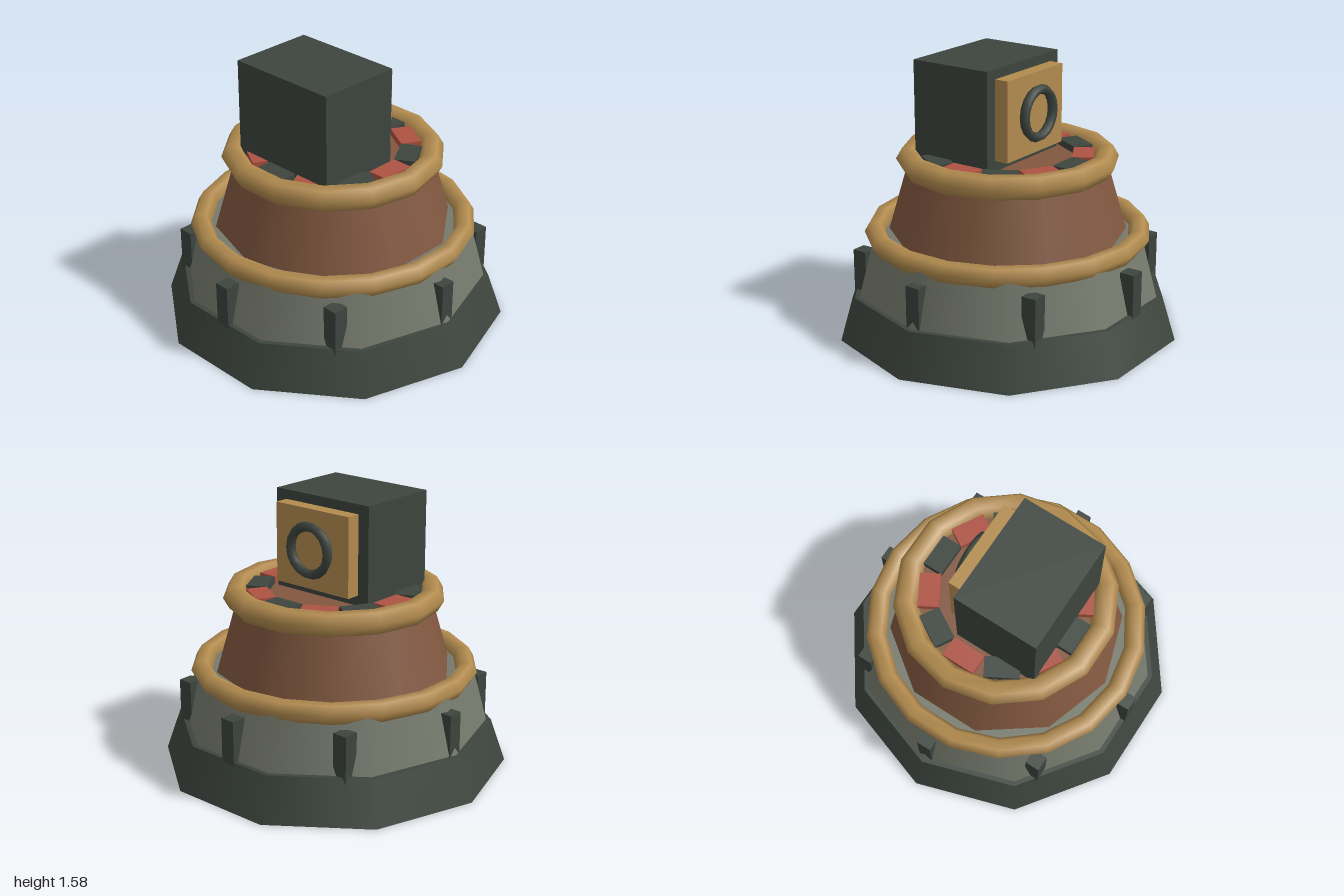
import * as THREE from 'three';

const mat = (name, color) => {
  const m = new THREE.MeshStandardMaterial({ color });
  m.name = name;
  return m;
};

export function createModel() {
  const dark = mat('dark iron', 0x3d453e);
  const stone = mat('grey stone', 0x767a6d);
  const clay = mat('brown clay', 0x825840);
  const gold = mat('dull gold', 0xb38c4f);
  const red = mat('faded red', 0xad5242);

  const model = new THREE.Group();
  model.name = 'turretTower';

  const add = (name, geometry, material, x = 0, y = 0, z = 0, turn = 0) => {
    const mesh = new THREE.Mesh(geometry, material);
    mesh.name = name;
    mesh.position.set(x, y, z);
    mesh.rotation.y = turn;
    model.add(mesh);
    return mesh;
  };

  // Ten-sided tapered tier standing between two heights
  const tier = (name, material, rBottom, rTop, y0, y1, turn = 0) =>
    add(name, new THREE.CylinderGeometry(rTop, rBottom, y1 - y0, 10), material, 0, (y0 + y1) / 2, 0, turn);

  // Horizontal hoop with a six-sided section
  const hoop = (name, radius, tube, sides, y, turn = 0) =>
    add(name, new THREE.TorusGeometry(radius, tube, 6, sides).rotateX(Math.PI / 2), gold, 0, y, 0, turn);

  // Stacked body
  tier('base', dark, 1, 0.913, 0, 0.25);
  tier('lowerWall', stone, 0.885, 0.8, 0.25, 0.57);
  tier('upperWall', clay, 0.684, 0.56, 0.57, 1.0, Math.PI / 10);
  hoop('lowerHoop', 0.765, 0.06, 18, 0.572);
  hoop('upperHoop', 0.565, 0.07, 14, 1.0, Math.PI / 14);

  // Eight square posts around the lower wall, all aligned to the axes
  const post = new THREE.BoxGeometry(0.088, 0.34, 0.088);
  for (let i = 0; i < 8; i++) {
    const a = (i * Math.PI) / 4;
    add('post', post, dark, 0.83 * Math.cos(a), 0.32, 0.83 * Math.sin(a));
  }

  // Alternating ring of blocks on the top deck
  const block = new THREE.BoxGeometry(0.12, 0.06, 0.2);
  for (let i = 0; i < 12; i++) {
    const a = (i * Math.PI) / 6;
    add('deckBlock', block, i % 2 ? red : dark, 0.43 * Math.cos(a), 1.01, 0.43 * Math.sin(a), -a);
  }

  // Head box with a side plate and a round rim
  add('headBox', new THREE.BoxGeometry(0.505, 0.575, 0.675), dark, -0.1475, 1.2875, 0);
  add('sidePlate', new THREE.BoxGeometry(0.085, 0.46, 0.53), gold, 0.1455, 1.29, 0);
  add('plateRim', new THREE.TorusGeometry(0.136, 0.028, 6, 18).rotateY(Math.PI / 2), dark, 0.212, 1.29, 0);

  return model;
}
